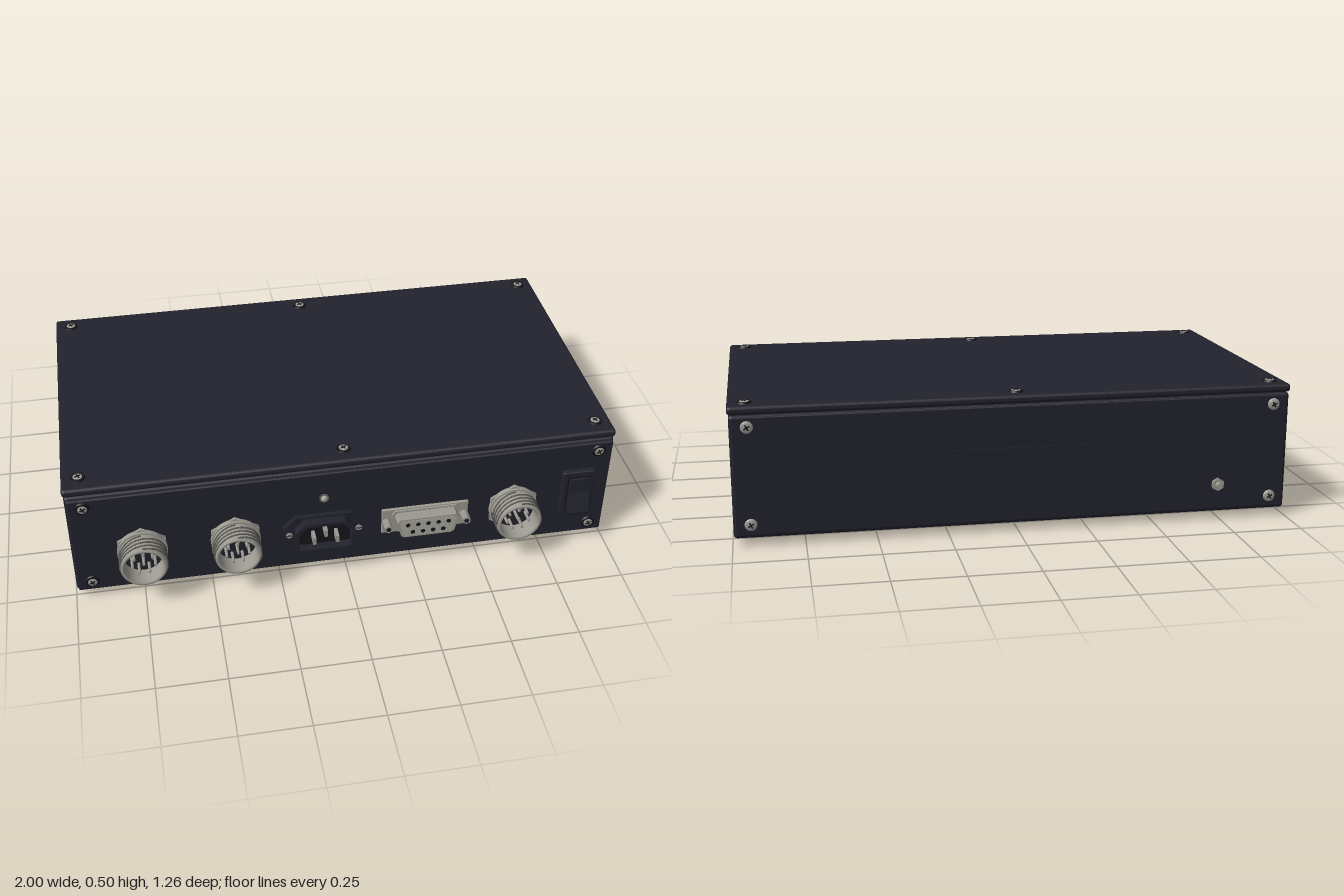
import * as THREE from 'three';
import { RoundedBoxGeometry } from 'three/addons/geometries/RoundedBoxGeometry.js';

const mat = (name, color) => {
  const m = new THREE.MeshStandardMaterial({ color });
  m.name = name;
  return m;
};

export function createModel() {
  const root = new THREE.Group();
  root.name = 'instrumentCase';
  const navy = mat('dark navy', 0x22222d);
  const black = mat('black', 0x15151b);
  const metal = mat('metal grey', 0x9b9990);
  const shade = mat('dark metal', 0x5c5a55);
  const pale = mat('pale metal', 0xaaa89f);

  const add = (parent, name, geo, material, x = 0, y = 0, z = 0) => {
    const m = new THREE.Mesh(geo, material);
    m.name = name;
    m.position.set(x, y, z);
    parent.add(m);
    return m;
  };
  const group = (name, x, y, z) => {
    const g = new THREE.Group();
    g.name = name;
    g.position.set(x, y, z);
    root.add(g);
    return g;
  };
  const box = (w, h, d, r = 0) => r ? new RoundedBoxGeometry(w, h, d, 2, r) : new THREE.BoxGeometry(w, h, d);
  // disc or rod pointing along z, starting at z = 0
  const rod = (r, len, seg = 24, rFront = r) =>
    new THREE.CylinderGeometry(rFront, r, len, seg).rotateX(Math.PI / 2).translate(0, 0, len / 2);
  const lathe = (pts, seg = 40) =>
    new THREE.LatheGeometry(pts.map(p => new THREE.Vector2(...p)), seg).rotateX(Math.PI / 2);
  const outline = pts => new THREE.Shape(pts.map(p => new THREE.Vector2(...p)));
  const extrude = (shape, depth) => new THREE.ExtrudeGeometry(shape, { depth, bevelEnabled: false, curveSegments: 16 });

  // Case: body, panels and lid
  add(root, 'body', box(1.99, 0.435, 1.105, 0.012), navy, 0, 0.2475, -0.0425);
  add(root, 'lidSeam', box(1.97, 0.03, 1.08), black, 0, 0.462, -0.043);
  add(root, 'lid', box(2, 0.03, 1.105, 0.012), navy, 0, 0.481, -0.0425);
  add(root, 'frontPanel', box(1.975, 0.42, 0.03, 0.006), navy, 0, 0.25, 0.51);
  add(root, 'backPanel', box(1.975, 0.42, 0.02, 0.005), navy, 0, 0.25, -0.588);
  add(root, 'backLabelPlate', box(0.54, 0.13, 0.007), navy, 0, 0.245, -0.6005);

  // Rubber feet
  for (const x of [-0.81, 0.81]) for (const z of [0.355, -0.435])
    add(root, 'foot', new THREE.CylinderGeometry(0.043, 0.04, 0.034, 28), navy, x, 0.017, z);

  // Cross-head screws, optionally seated in a dark cup washer
  const screw = (x, y, z, rx, ry, washer) => {
    const g = group('screw', x, y, z);
    g.rotation.set(rx, ry, 0);
    if (washer) add(g, 'washer', rod(0.027, 0.007, 24, 0.024), black);
    add(g, 'screwHead', lathe([[0.022, 0], [0.021, 0.005], [0.014, 0.0085], [0, 0.0095]].reverse().map(([r, h]) => [r, h]).reverse(), 20), metal);
    for (const a of [0, Math.PI / 2])
      add(g, 'crossSlot', box(0.022, 0.005, 0.004), black, 0, 0, 0.008).rotation.z = a + 0.5;
  };
  for (const x of [-0.94, 0, 0.94]) for (const z of [-0.535, 0.44]) screw(x, 0.495, z, -Math.PI / 2, 0, true);
  for (const x of [-0.935, 0.935]) for (const y of [0.08, 0.425]) {
    screw(x, y, 0.524, 0, 0, true);
    screw(x, y, -0.598, 0, Math.PI, false);
  }

  // Grounding stud on the back
  const stud = group('groundStud', -0.735, 0.135, -0.597);
  stud.rotation.y = Math.PI;
  add(stud, 'studNut', rod(0.024, 0.013, 6), metal);
  add(stud, 'studRod', rod(0.011, 0.033, 16), metal);

  // Indicator above the power inlet
  const lamp = group('indicator', -0.085, 0.35, 0.524);
  add(lamp, 'indicatorRim', rod(0.018, 0.006, 20), shade);
  add(lamp, 'indicatorDome', new THREE.SphereGeometry(0.014, 16, 10), metal, 0, 0, 0.004);

  // Round threaded connectors
  class Helix extends THREE.Curve {
    constructor(phase) { super(); this.phase = phase; }
    getPoint(t, v = new THREE.Vector3()) {
      const a = this.phase + t * Math.PI * 2;
      return v.set(0.084 * Math.cos(a), 0.084 * Math.sin(a), 0.026 + t * 0.07);
    }
  }
  for (const x of [-0.745, -0.41, 0.625]) {
    const g = group('roundConnector', x, 0.208, 0.524);
    add(g, 'hexNut', rod(0.1, 0.012, 6), metal);
    add(g, 'collar', rod(0.09, 0.02, 40), metal);
    add(g, 'barrel', lathe([[0.083, 0.01], [0.083, 0.099], [0.08, 0.104], [0.073, 0.104], [0.07, 0.1], [0.07, 0.015]]), metal);
    for (let i = 0; i < 4; i++)
      add(g, 'thread', new THREE.TubeGeometry(new Helix(i * Math.PI / 2), 48, 0.0035, 5), shade);
    add(g, 'insert', rod(0.07, 0.035, 32), navy);
    add(g, 'key', box(0.014, 0.012, 0.07), metal, 0, 0.065, 0.06);
    for (let i = 0; i < 8; i++) {
      const a = i * Math.PI * 2 / 7, r = i < 7 ? 0.042 : 0;
      add(g, 'pin', rod(0.006, 0.055, 10, 0.005), metal, r * Math.sin(a), r * Math.cos(a), 0.03);
    }
  }

  // Mains power inlet
  const chamfered = (w, h, cx, cy, low = cy) => [
    [-w, -h + low], [-w + (low ? cx : 0), -h], [w - (low ? cx : 0), -h], [w, -h + low],
    [w, h - cy], [w - cx, h], [-w + cx, h], [-w, h - cy]];
  const inlet = group('powerInlet', -0.088, 0.205, 0.524);
  add(inlet, 'inletFlange', extrude(outline(chamfered(0.148, 0.075, 0.045, 0.045)), 0.018), navy);
  const shroud = outline(chamfered(0.108, 0.067, 0.035, 0.035, 0.006));
  shroud.holes.push(new THREE.Path(chamfered(0.096, 0.054, 0.032, 0.032, 0.004).map(p => new THREE.Vector2(...p))));
  add(inlet, 'inletShroud', extrude(shroud, 0.052), navy);
  add(inlet, 'inletFloor', box(0.19, 0.105, 0.002), black, 0, 0, 0.019);
  for (const [x, y] of [[0, 0.028], [-0.042, -0.004], [0.042, -0.004]])
    add(inlet, 'blade', box(0.012, 0.03, 0.045), metal, x, y, 0.041);
  for (const x of [-0.128, 0.128]) {
    add(inlet, 'inletScrew', rod(0.012, 0.022, 16), metal, x, 0, 0);
    add(inlet, 'inletScrewSlot', box(0.018, 0.004, 0.002), black, x, 0, 0.022);
  }

  // Nine-way data connector
  const data = group('dataConnector', 0.29, 0.21, 0.524);
  add(data, 'dataFlange', box(0.325, 0.11, 0.012, 0.004), metal, 0, 0, 0.007);
  const dShape = (top, bottom, h) => outline([[-bottom, -h], [bottom, -h], [bottom + 0.012, -h + 0.008],
    [top, h - 0.014], [top - 0.01, h], [-top + 0.01, h], [-top, h - 0.014], [-bottom - 0.012, -h + 0.008]]);
  add(data, 'dataStep', extrude(dShape(0.125, 0.1, 0.049), 0.02), metal);
  add(data, 'dataShell', extrude(dShape(0.115, 0.088, 0.042), 0.062), metal);
  add(data, 'dataFace', extrude(dShape(0.106, 0.08, 0.035), 0.002), pale, 0, 0, 0.0615);
  for (const [n, y] of [[5, 0.016], [4, -0.018]]) for (let i = 0; i < n; i++)
    add(data, 'socketHole', rod(0.0085, 0.002, 12), black, (i - (n - 1) / 2) * 0.038, y, 0.063);
  for (const x of [-0.146, 0.146]) {
    add(data, 'jackPost', rod(0.017, 0.05, 6), metal, x, 0, 0.008);
    add(data, 'jackHole', rod(0.009, 0.002, 12), black, x, 0, 0.0575);
  }

  // Rocker switch, with the top pressed in
  const sw = group('rockerSwitch', 0.865, 0.255, 0.524);
  add(sw, 'switchFrame', box(0.122, 0.19, 0.026, 0.006), navy, 0, 0, 0.011);
  add(sw, 'switchRecess', box(0.086, 0.15, 0.002), black, 0, 0, 0.0245);
  const rocker = new THREE.ExtrudeGeometry(outline([[0, -0.07], [0.066, -0.07], [0.068, -0.062],
    [0.04, 0.01], [0.036, 0.07], [0, 0.07]]), { depth: 0.074, bevelEnabled: false });
  rocker.rotateY(-Math.PI / 2).translate(0.037, 0, 0);
  add(sw, 'rocker', rocker, navy);

  return root;
}
